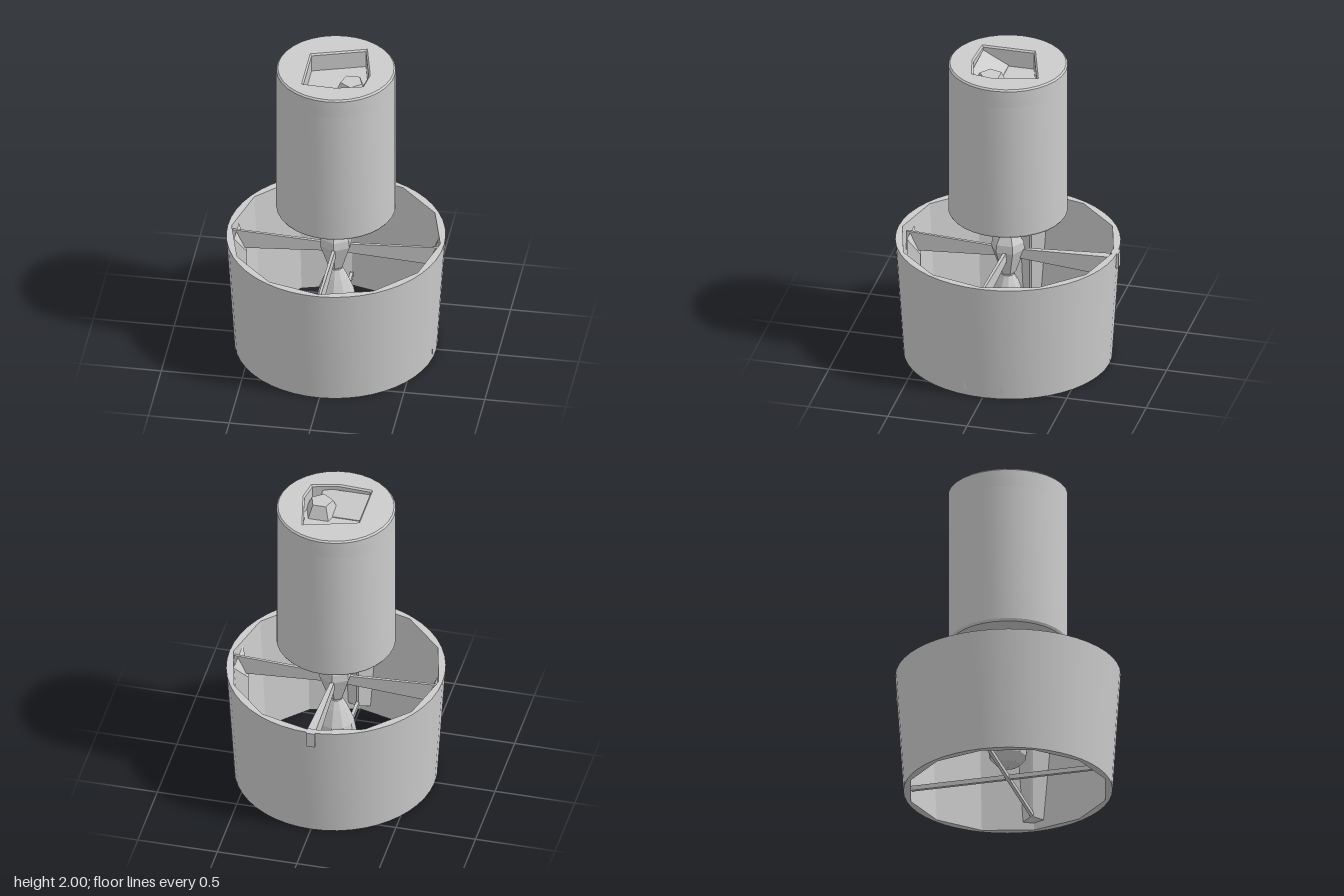
import * as THREE from 'three';
import { toCreasedNormals, mergeVertices } from 'three/addons/utils/BufferGeometryUtils.js';

const smoothGrey = new THREE.MeshStandardMaterial({ color: 0xcccccc, side: THREE.DoubleSide });
const flatGrey = new THREE.MeshStandardMaterial({ color: 0xcccccc, side: THREE.DoubleSide, flatShading: true });

function add(parent, name, geometry, material = smoothGrey) {
  const mesh = new THREE.Mesh(geometry, material);
  mesh.name = name;
  parent.add(mesh);
  return mesh;
}

// Revolved profile given as [radius, height] pairs
function lathe(profile, sides) {
  const g = new THREE.LatheGeometry(profile.map(([r, y]) => new THREE.Vector2(r, y)), sides);
  return toCreasedNormals(g, 0.5);
}

// Beam along +x whose width and height change between its two ends
function taperedBeam(a, b) {
  const g = new THREE.BoxGeometry(1, 1, 1);
  const p = g.attributes.position;
  for (let i = 0; i < p.count; i++) {
    const e = p.getX(i) < 0 ? a : b;
    p.setXYZ(i, e.r, p.getY(i) < 0 ? e.low : e.high, p.getZ(i) * e.width);
  }
  g.computeVertexNormals();
  return g;
}

// Ring wall: round flared outside, coarse faceted inside
function ringWall() {
  const n = 48, facets = 12;
  const levels = [[0.64, 0, 0], [0.69, 0.775, 0], [0.665, 0.775, 1], [0.615, 0, 1], [0.64, 0, 0]];
  const pos = [], index = [];
  for (const [radius, y, inner] of levels) {
    for (let i = 0; i <= n; i++) {
      const a = (i / n) * Math.PI * 2;
      const step = (Math.PI * 2) / facets;
      const local = (a % step) - step / 2;
      const r = inner ? (radius * Math.cos(step / 2)) / Math.cos(local) : radius;
      pos.push(r * Math.sin(a) * 0.97, y, r * Math.cos(a));
    }
  }
  for (let j = 0; j < levels.length - 1; j++) {
    for (let i = 0; i < n; i++) {
      const a = j * (n + 1) + i, b = a + n + 1;
      index.push(a, a + 1, b, b, a + 1, b + 1);
    }
  }
  const g = new THREE.BufferGeometry();
  g.setAttribute('position', new THREE.Float32BufferAttribute(pos, 3));
  g.setIndex(index);
  return toCreasedNormals(mergeVertices(g), 0.4);
}

export function createModel() {
  const model = new THREE.Group();
  model.name = 'cylinderOnRing';

  // Upper cylinder: closed body and a top slice with a shallow recess
  add(model, 'cylinderBody', lathe([[0, 0.975], [0.355, 0.975], [0.365, 0.99], [0.365, 1.88], [0, 1.88]], 32));
  const top = new THREE.Shape().absarc(0, 0, 0.365, 0, Math.PI * 2);
  const outline = [[-0.17, 0.12], [0.15, 0.22], [0.21, -0.05], [0.19, -0.17], [0.03, -0.21], [-0.17, -0.2]];
  top.holes.push(new THREE.Path(outline.map(([x, y]) => new THREE.Vector2(x, y))));
  const slice = new THREE.ExtrudeGeometry(top, { depth: 0.11, bevelThickness: 0.01, bevelSize: 0.01,
    bevelOffset: -0.01, bevelSegments: 1, curveSegments: 16 });
  slice.rotateX(-Math.PI / 2).translate(0, 1.88, 0);
  add(model, 'cylinderTop', toCreasedNormals(slice, 0.5));
  const boss = add(model, 'recessBoss', new THREE.CylinderGeometry(0.07, 0.11, 0.09, 5), flatGrey);
  boss.position.set(0.11, 1.92, 0.08);
  // Sloping ledge at the front of the recess
  const ledge = add(model, 'recessLedge', taperedBeam(
    { r: -0.06, low: 1.88, high: 1.885, width: 0.3 }, { r: 0.1, low: 1.88, high: 1.97, width: 0.3 }), flatGrey);
  ledge.rotation.y = -Math.PI / 2;
  ledge.position.set(-0.02, 0, 0.1);

  // Pinched neck, hub and the bulb hanging beneath
  const neck = add(model, 'neck', new THREE.CylinderGeometry(0.18, 0.065, 0.135, 6), flatGrey);
  neck.position.y = 0.91;
  neck.scale.x = 0.75;
  add(model, 'hub', new THREE.LatheGeometry(
    [[0, 0.5], [0.05, 0.56], [0.105, 0.72], [0.1, 0.77], [0.055, 0.845], [0, 0.845]]
      .map(([r, y]) => new THREE.Vector2(r, y)), 6), flatGrey);
  add(model, 'bulb', new THREE.LatheGeometry(
    [[0, 0.15], [0.07, 0.17], [0.115, 0.22], [0.125, 0.29], [0.11, 0.38], [0.07, 0.48], [0.04, 0.54], [0, 0.55]]
      .map(([r, y]) => new THREE.Vector2(r, y)), 10), flatGrey);

  add(model, 'ringWall', ringWall());

  // Four spokes above, a thin cross below, and gussets against the wall
  for (let i = 0; i < 4; i++) {
    const arm = new THREE.Group();
    arm.name = 'spoke' + (i + 1);
    arm.rotation.y = (i * Math.PI) / 2;
    const back = i === 1;
    add(arm, 'upperSpoke', taperedBeam(
      { r: 0.05, low: 0.66, high: 0.72, width: 0.02 },
      { r: 0.64, low: 0.62, high: 0.75, width: back ? 0.055 : 0.015 }), flatGrey);
    add(arm, 'lowerSpoke', taperedBeam(
      { r: 0, low: 0.07, high: 0.1, width: 0.02 },
      { r: 0.61, low: 0.07, high: 0.1, width: 0.02 }), flatGrey);
    if (!back) {
      const spread = i === 0 ? 0.24 : 0.18;
      add(arm, 'wallGusset', taperedBeam(
        { r: 0.55, low: 0.07, high: 0.6, width: 0.015 },
        { r: 0.615, low: 0.04, high: 0.74, width: spread }), flatGrey);
    }
    model.add(arm);
  }

  // Small tab over the back of the rim
  const tab = add(model, 'backTab', new THREE.BoxGeometry(0.055, 0.1, 0.05), flatGrey);
  tab.position.set(-0.01, 0.725, -0.675);

  return model;
}
